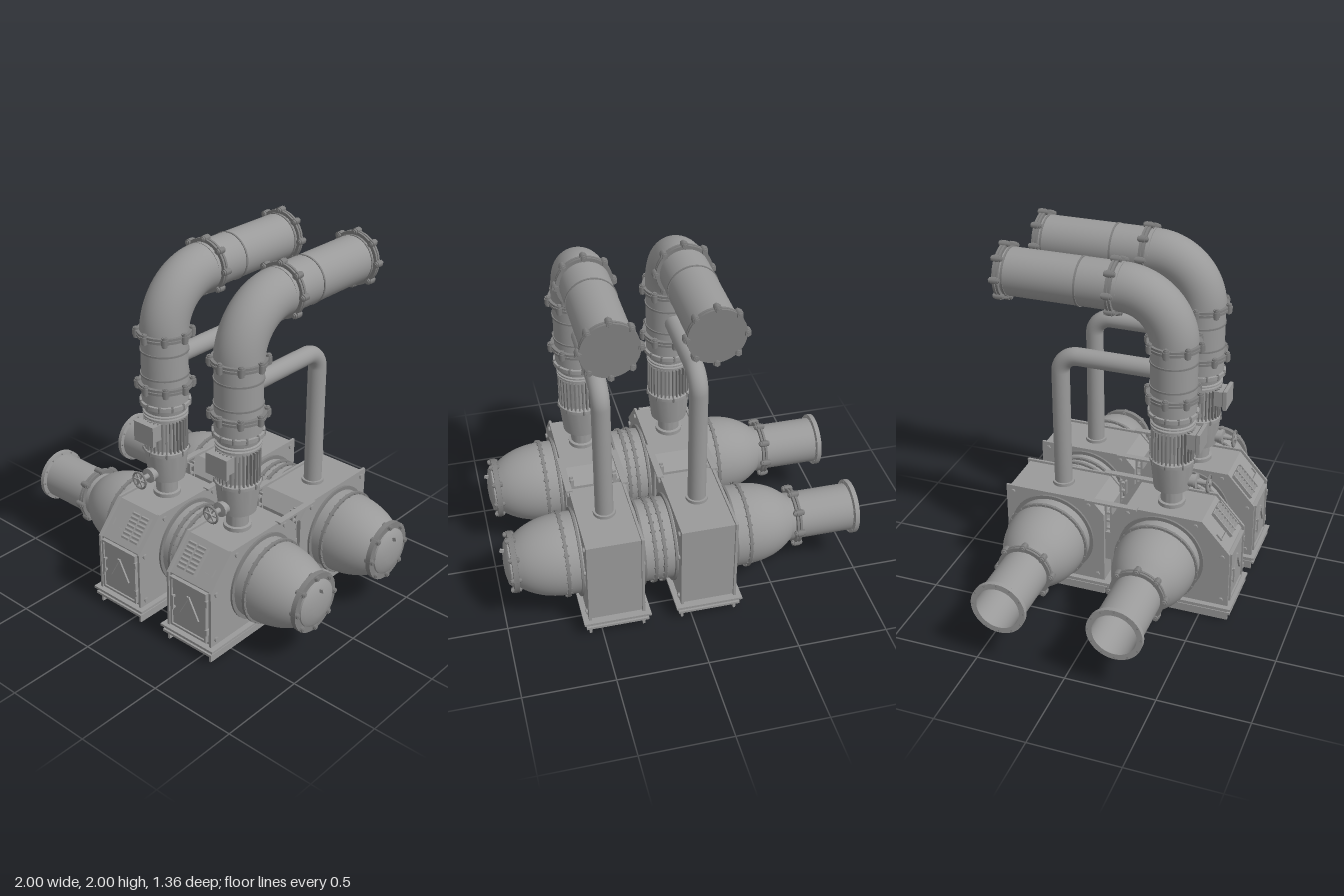
import * as THREE from 'three';
import { mergeGeometries, toCreasedNormals } from 'three/addons/utils/BufferGeometryUtils.js';

const grey = new THREE.MeshStandardMaterial({ color: 0x9a9a9a, side: THREE.DoubleSide });
const dark = new THREE.MeshStandardMaterial({ color: 0x808080, side: THREE.DoubleSide });
const TAU = Math.PI * 2;

function add(parent, geo, name, x = 0, y = 0, z = 0, material = grey) {
  const m = new THREE.Mesh(geo, material);
  m.name = name;
  m.position.set(x, y, z);
  parent.add(m);
  return m;
}
const box = (p, name, w, h, d, x, y, z) => add(p, new THREE.BoxGeometry(w, h, d), name, x, y, z);
const disc = (p, name, r, h, y) => add(p, new THREE.CylinderGeometry(r, r, h, 48), name, 0, y, 0, dark);
const lathe = (pts, seg = 48) => toCreasedNormals(
  new THREE.LatheGeometry(pts.map(([r, y]) => new THREE.Vector2(r, y)), seg), 0.6);

function group(parent, name, x = 0, y = 0, z = 0) {
  const g = new THREE.Group();
  g.name = name;
  g.position.set(x, y, z);
  parent.add(g);
  return g;
}

// Ring of bolts round the y axis: shank, wide lug and a nut at each end
function bolts(parent, n, ringR, r, len, y) {
  const parts = [];
  for (let i = 0; i < n; i++) {
    const a = i / n * TAU;
    const place = (radius, h, dy) => parts.push(new THREE.CylinderGeometry(radius, radius, h, 6)
      .translate(Math.cos(a) * ringR, y + dy, Math.sin(a) * ringR));
    place(r * 0.5, len, 0);
    place(r, len * 0.5, 0);
    for (const s of [-1, 1]) place(r * 0.8, len * 0.2, s * len * 0.33);
  }
  add(parent, mergeGeometries(parts), 'bolts', 0, 0, 0, dark);
}

// Pair of bolted pipe flanges
function flange(parent, r, y) {
  disc(parent, 'flange', r, 0.013, y - 0.009);
  disc(parent, 'flange', r, 0.013, y + 0.009);
  bolts(parent, 8, r, 0.02, 0.062, y);
}

// Horizontal vessel: open pipe at one end, domed body, bolted cover at the other
function vessel(parent, z) {
  const g = group(parent, 'vessel', 0, 0.355, z);
  g.rotation.z = -Math.PI / 2;
  const R = 0.225, pts = [[0, -0.66], [0.12, -0.66], [0.12, -1], [0.152, -1], [0.152, -0.975], [0.132, -0.97], [0.132, -0.61]];
  const domeR = t => R * Math.sqrt(1 - (t * 0.785) ** 2);
  for (let i = 10; i >= 0; i--) pts.push([domeR(i / 10), -0.35 - 0.25 * i / 10]);
  for (let i = 0; i <= 10; i++) pts.push([domeR(i / 10), 0.65 + 0.265 * i / 10]);
  add(g, lathe(pts, 64), 'vesselShell');
  flange(g, 0.153, -0.65);
  bolts(g, 12, 0.142, 0.007, 0.036, -0.985);
  // End cover: flat bolted ring round a shallow dome
  add(g, lathe([[0.14, 0.912], [0.167, 0.915], [0.167, 0.943], [0.13, 0.943]]), 'coverRing', 0, 0, 0, dark);
  add(g, lathe([[0.132, 0.94], [0.13, 0.952], [0.11, 0.965], [0.06, 0.976], [0, 0.98]]), 'coverDome');
  bolts(g, 8, 0.15, 0.019, 0.06, 0.93);
  const lug = box(g, 'coverLug', 0.02, 0.025, 0.01, -0.09, 0.98, 0);
  lug.rotation.z = 0.3;
  // Girth rings
  for (const x of [-0.345, 0.135, 0.185, 0.66]) {
    disc(g, 'girthRing', 0.238, 0.016, x);
    bolts(g, 28, 0.231, 0.007, 0.03, x);
  }
  for (const c of [-0.095, 0.417]) for (const s of [-1, 1]) disc(g, 'sealRing', 0.245, 0.012, c + s * 0.17);
}

// Extruded housing outline, given as [z, y] corners, centred on x
function slab(parent, name, outline, width, x) {
  const s = new THREE.Shape(outline.map(([z, y]) => new THREE.Vector2(-z, y)));
  const m = add(parent, new THREE.ExtrudeGeometry(s, { depth: width, bevelEnabled: false }), name, x - width / 2, 0, 0);
  m.rotation.y = Math.PI / 2;
}

// Casing around both vessels, with base and door; side picks where the grille sits
function housing(parent, cx, side) {
  const g = group(parent, 'housing', cx);
  const frontPlate = [[0.66, 0], [0.66, 0.43], [0.5, 0.61], [0.06, 0.61], [-0.02, 0.53], [-0.02, 0]];
  const rearPlate = [[-0.06, 0], [-0.06, 0.53], [-0.13, 0.61], [-0.64, 0.61], [-0.64, 0]];
  slab(g, 'frontCasing', [[0.645, 0.02], [0.645, 0.424], [0.492, 0.597], [0.06, 0.597], [-0.02, 0.52], [-0.02, 0.02]], 0.29, 0);
  slab(g, 'rearCasing', [[-0.06, 0.02], [-0.06, 0.52], [-0.13, 0.597], [-0.625, 0.597], [-0.625, 0.02]], 0.29, 0);
  for (const s of [-1, 1]) {
    slab(g, 'frontSidePlate', frontPlate, 0.014, s * 0.148);
    slab(g, 'rearSidePlate', rearPlate, 0.014, s * 0.148);
    for (const [z, y] of [[0.62, 0.41], [0.62, 0.13], [0.465, 0.575], [0.02, 0.13], [0.08, 0.575],
      [-0.1, 0.13], [-0.6, 0.13], [-0.6, 0.41], [-0.15, 0.575], [-0.6, 0.575]]) {
      const b = add(g, new THREE.CylinderGeometry(0.014, 0.014, 0.03, 6), 'plateBolt', s * 0.15, y, z);
      b.rotation.z = Math.PI / 2;
    }
    // Bridging strip and ladder post between the two casings
    box(g, 'bridgeStrip', 0.035, 0.012, 0.3, s * 0.155, 0.61, -0.015);
    for (const z of [-0.027, -0.058]) box(g, 'ladderPost', 0.02, 0.2, 0.01, s * 0.12, 0.5, z);
    for (let i = 0; i < 4; i++) box(g, 'ladderRung', 0.02, 0.012, 0.04, s * 0.12, 0.43 + i * 0.05, -0.042);
  }
  box(g, 'linkBlock', 0.27, 0.18, 0.05, 0, 0.32, -0.04);

  // Base rails
  box(g, 'railTop', 0.37, 0.014, 1.35, 0, 0.087, 0.008);
  box(g, 'railWeb', 0.335, 0.03, 1.31, 0, 0.07, 0.008);
  box(g, 'railBottom', 0.345, 0.014, 1.34, 0, 0.055, 0.008);

  // Door with frame, raised triangle, handle and hinges
  box(g, 'door', 0.23, 0.29, 0.02, 0, 0.27, 0.648);
  for (const s of [-1, 1]) {
    box(g, 'doorFrame', 0.012, 0.3, 0.022, s * 0.12, 0.265, 0.656);
    box(g, 'doorFrame', 0.252, 0.012, 0.022, 0, 0.265 + s * 0.147, 0.656);
    box(g, 'hinge', 0.014, 0.035, 0.026, 0.128, 0.27 + s * 0.09, 0.658);
    const bar = box(g, 'signEdge', 0.014, 0.14, 0.016, -s * 0.034, 0.28, 0.66);
    bar.rotation.z = -s * 0.5;
    box(g, 'handleMount', 0.012, 0.01, 0.02, -0.1, 0.27 + s * 0.035, 0.665);
  }
  box(g, 'handle', 0.012, 0.09, 0.008, -0.1, 0.27, 0.675);

  // Louvred grille and cable bracket on the sloping face
  const slope = group(g, 'slopePanel', 0, 0.515, 0.57);
  slope.rotation.x = -Math.atan2(0.153, 0.173);
  box(slope, 'grilleBack', 0.13, 0.165, 0.01, side * 0.05, 0, 0);
  for (let i = 0; i < 7; i++) {
    const l = box(slope, 'louvre', 0.12, 0.012, 0.016, side * 0.05, -0.069 + i * 0.023, 0.008);
    l.rotation.x = 0.5;
  }
  for (const x of [-0.065, 0, 0.065]) box(slope, 'grilleBar', 0.008, 0.165, 0.02, side * 0.05 + x, 0, 0.008);
  box(slope, 'bracket', 0.08, 0.007, 0.01, -side * 0.07, -0.04, 0.005);
  box(slope, 'bracket', 0.007, 0.04, 0.01, -side * 0.11, -0.02, 0.005);
}

// Vertical pump and pipe stack, with elbow to the rear and a return pipe
function stack(parent, cx) {
  const g = group(parent, 'stack', cx, 0, 0.28);
  add(g, lathe([[0.075, 0.6], [0.075, 0.622], [0.06, 0.625], [0.06, 0.71], [0.1, 0.71], [0.118, 0.87], [0.123, 0.872],
    [0.123, 0.89], [0.1, 0.9], [0.1, 1.08], [0.11, 1.09], [0.122, 1.09], [0.122, 1.098], [0.108, 1.1], [0.108, 1.106],
    [0.122, 1.108], [0.122, 1.116], [0.112, 1.12], [0.118, 1.155], [0.137, 1.155], [0.137, 1.178], [0.125, 1.18], [0.125, 1.57]]), 'pumpBody');
  const fins = [];
  for (let i = 0; i < 32; i++) {
    fins.push(new THREE.BoxGeometry(0.025, 0.18, 0.008).translate(0.106, 0.985, 0).rotateY(i / 32 * TAU));
  }
  add(g, mergeGeometries(fins), 'coolingFins', 0, 0, 0, dark);
  bolts(g, 12, 0.13, 0.01, 0.036, 1.166);
  bolts(g, 8, 0.122, 0.007, 0.03, 0.881);
  flange(g, 0.145, 1.27);
  flange(g, 0.145, 1.56);
  for (const y of [1.33, 1.465]) disc(g, 'pipeBand', 0.13, 0.01, y);

  // Terminal box on the motor
  const terminal = [[0.045, 0.09], [0.045, 0.14], [0.058, 0.15], [0.058, 0.17], [0, 0.17]];
  const t = add(g, new THREE.LatheGeometry(terminal.map(([r, y]) => new THREE.Vector2(r * 1.42, y)), 4, Math.PI / 4), 'terminalBox', 0, 1.025, 0);
  t.geometry = toCreasedNormals(t.geometry, 0.3);
  t.rotation.x = Math.PI / 2;
  t.scale.x = 1.2;

  // Handwheel valve
  const valve = group(g, 'handwheelValve', 0, 0.76, 0);
  valve.rotation.x = Math.PI / 2;
  add(valve, lathe([[0.035, 0.08], [0.035, 0.13], [0.042, 0.13], [0.042, 0.142], [0.014, 0.145], [0.014, 0.22], [0, 0.22]], 20), 'valveStem');
  add(valve, new THREE.TorusGeometry(0.046, 0.006, 8, 28), 'wheelRim', 0, 0.208, 0, dark).rotation.x = Math.PI / 2;
  for (let i = 0; i < 3; i++) box(valve, 'wheelSpoke', 0.092, 0.007, 0.008, 0, 0.208, 0).rotation.y = i * Math.PI / 3;

  // Elbow and horizontal discharge pipe
  const bend = 0.28, start = 1.552, arc = [];
  for (let i = 0; i <= 24; i++) {
    const a = i / 24 * Math.PI / 2;
    arc.push(new THREE.Vector3(0, start + bend * Math.sin(a), -bend + bend * Math.cos(a)));
  }
  add(g, new THREE.TubeGeometry(new THREE.CatmullRomCurve3(arc), 28, 0.129, 40), 'elbow');
  const out = group(g, 'dischargePipe', 0, start + bend, -bend);
  out.rotation.x = -Math.PI / 2;
  add(out, new THREE.CylinderGeometry(0.129, 0.129, 0.66, 40), 'pipe', 0, 0.33, 0);
  flange(out, 0.147, 0.035);
  flange(out, 0.147, 0.65);
  for (const y of [0.22, 0.62]) disc(out, 'pipeBand', 0.133, 0.01, y);

  // Return pipe down to the rear casing
  const path = new THREE.CurvePath();
  const V = (y, z) => new THREE.Vector3(0, y, z);
  path.add(new THREE.LineCurve3(V(1.395, -0.08), V(1.395, -0.535)));
  path.add(new THREE.CubicBezierCurve3(V(1.395, -0.535), V(1.395, -0.59), V(1.35, -0.637), V(1.295, -0.637)));
  path.add(new THREE.LineCurve3(V(1.295, -0.637), V(0.6, -0.637)));
  add(g, new THREE.TubeGeometry(path, 90, 0.05, 24), 'returnPipe');
  add(g, new THREE.CylinderGeometry(0.062, 0.062, 0.018, 28), 'returnCollar', 0, 0.606, -0.637);
}

export function createModel() {
  const model = new THREE.Group();
  model.name = 'pumpStation';
  vessel(model, 0.275);
  vessel(model, -0.362);
  for (const [cx, side] of [[-0.095, 1], [0.417, -1]]) {
    housing(model, cx, side);
    stack(model, cx);
  }
  return model;
}
